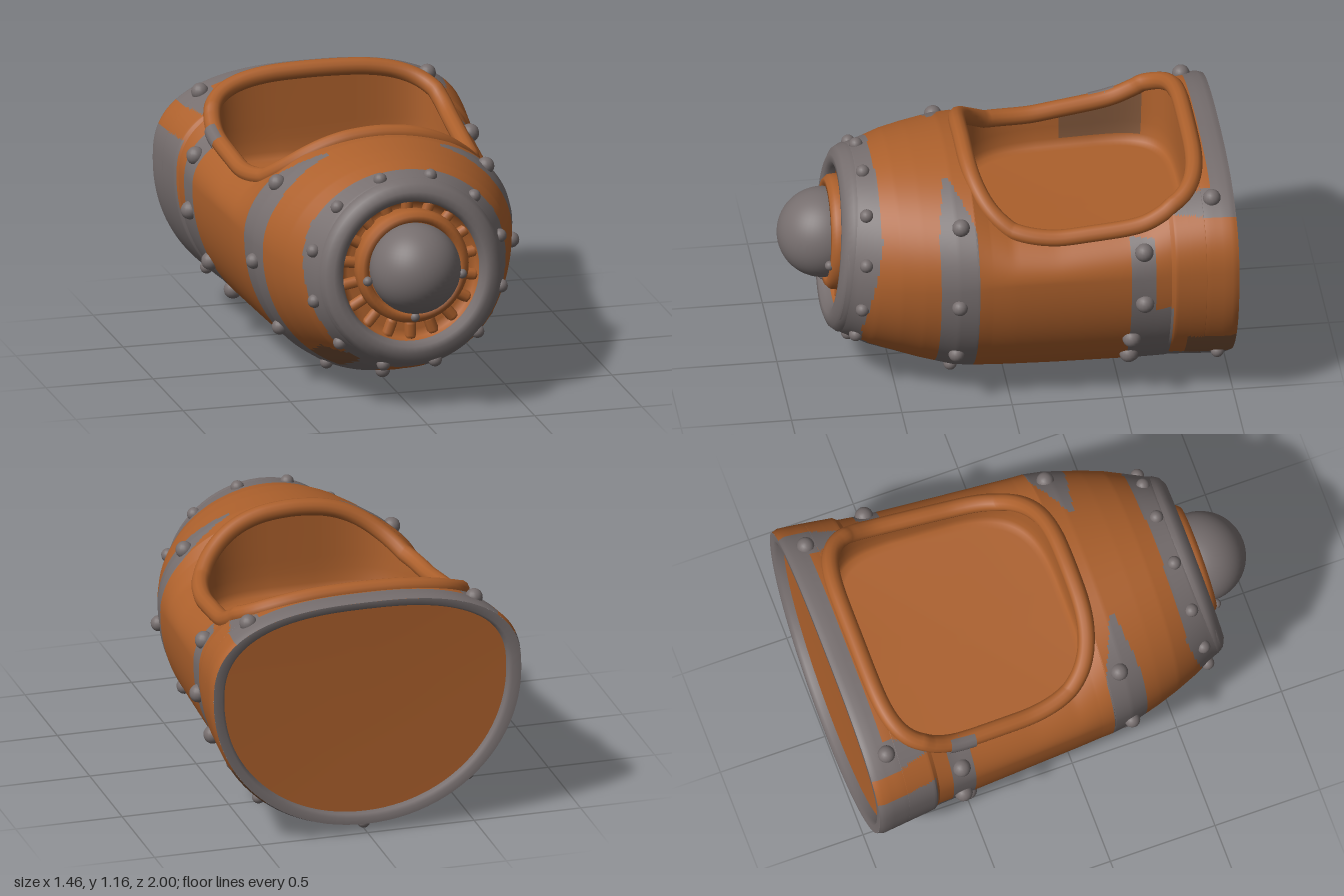
import * as THREE from 'three';
import { mergeVertices } from 'three/addons/utils/BufferGeometryUtils.js';

function flat(name, color) {
  const m = new THREE.MeshStandardMaterial({ color });
  m.name = name;
  return m;
}
const wood = flat('orange wood', 0xac602c);
const metal = flat('grey metal', 0x766e6e);
const stain = flat('dark brown wood', 0x7c5439);
const WOOD = 0, METAL = 1, STAIN = 2;

// Hull stations: z, half width, bottom, y of widest point, top, squareness of the top
const STATIONS = [
  [0.74, 0.415, 0.25, 0.64, 1.03, 2], [0.7, 0.43, 0.215, 0.64, 1.06, 2], [0.6, 0.48, 0.155, 0.64, 1.075, 2],
  [0.5, 0.525, 0.115, 0.65, 1.095, 2], [0.4, 0.56, 0.08, 0.66, 1.11, 2], [0.25, 0.605, 0.035, 0.68, 1.125, 2],
  [0.165, 0.62, 0.025, 0.69, 1.12, 2], [0.1, 0.625, 0.022, 0.7, 1.07, 2], [0, 0.635, 0.018, 0.71, 1.01, 2],
  [-0.2, 0.65, 0.015, 0.72, 0.995, 2], [-0.5, 0.67, 0.018, 0.72, 1.03, 2.2], [-0.6, 0.677, 0.02, 0.72, 1.05, 2.3],
  [-0.7, 0.685, 0.025, 0.72, 1.1, 2.4], [-0.72, 0.7, 0.035, 0.72, 1.105, 2.45], [-0.87, 0.718, 0.032, 0.72, 1.125, 2.6],
  [-0.97, 0.73, 0.035, 0.72, 1.13, 2.6], [-1, 0.722, 0.045, 0.72, 1.12, 2.6],
];
function station(z) {
  let i = 0;
  while (i < STATIONS.length - 2 && z < STATIONS[i + 1][0]) i++;
  const a = STATIONS[i], b = STATIONS[i + 1];
  const t = THREE.MathUtils.clamp((a[0] - z) / (a[0] - b[0]), 0, 1);
  const [, w, bottom, c, top, n] = a.map((v, k) => v + (b[k] - v) * t);
  return { w, bottom, c, top, n };
}
const pow = (v, e) => Math.sign(v) * Math.abs(v) ** e;

// Point on the hull; angle 0 is the top, PI/2 the +x side, PI the bottom; the mouth leans back at the top
const LEAN = 0.1;
function hullPoint(z, a) {
  const s = station(z), cos = Math.cos(a), n = cos > 0 ? s.n : 2.05;
  const h = cos > 0 ? s.top - s.c : s.c - s.bottom;
  const y = s.c + h * pow(cos, 2 / n);
  const lean = LEAN * (y - 0.64) * THREE.MathUtils.clamp((z - 0.5) / 0.2, 0, 1);
  return new THREE.Vector3(s.w * pow(Math.sin(a), 2 / n), y, z - lean);
}
function topY(x, z) {
  const s = station(z);
  return s.c + (s.top - s.c) * Math.max(0, 1 - (Math.abs(x) / s.w) ** s.n) ** (1 / s.n);
}

// Rounded-square cockpit opening in plan, wider and squarer at the rear
const OPEN = { z: -0.345, hz: 0.51 };
const openSide = z => 0.535 * (1 - 0.1 * (z - OPEN.z));
const openPower = front => (front ? 3.5 : 4.6);
function openHalfWidth(z) {
  const u = Math.abs(z - OPEN.z) / OPEN.hz, n = openPower(z > OPEN.z);
  return u >= 1 ? 0 : openSide(z) * (1 - u ** n) ** (1 / n);
}
function openLoop(count, scale, yAt) {
  return Array.from({ length: count + 1 }, (_, i) => {
    const t = -(i / count) * Math.PI * 2, n = openPower(Math.sin(t) > 0);
    const z = OPEN.z + OPEN.hz * pow(Math.sin(t), 2 / n);
    const x = openSide(z) * pow(Math.cos(t), 2 / n);
    return new THREE.Vector3(x * scale, yAt(x, z), OPEN.z + (z - OPEN.z) * scale);
  });
}

// Skin over rows of points; pick(x, y, z) chooses the material of each face
function skin(name, rows, pick) {
  const pos = rows.flatMap(r => r.flatMap(p => [p.x, p.y, p.z]));
  const n = rows[0].length, parts = [[], [], []], mid = new THREE.Vector3();
  for (let i = 0; i < rows.length - 1; i++) for (let j = 0; j < n - 1; j++) {
    mid.copy(rows[i][j]).add(rows[i][j + 1]).add(rows[i + 1][j]).add(rows[i + 1][j + 1]).multiplyScalar(0.25);
    const a = i * n + j, c = a + n;
    parts[pick(mid.x, mid.y, mid.z)].push(a, a + 1, c, a + 1, c + 1, c);
  }
  let g = new THREE.BufferGeometry();
  g.setAttribute('position', new THREE.Float32BufferAttribute(pos, 3));
  g.setIndex(parts.flat());
  g = mergeVertices(g);
  g.clearGroups();
  let start = 0;
  parts.forEach((p, k) => {
    if (p.length) g.addGroup(start, p.length, k);
    start += p.length;
  });
  g.computeVertexNormals();
  const mesh = new THREE.Mesh(g, [wood, metal, stain]);
  mesh.name = name;
  return mesh;
}

// Metal straps and dark patches painted on the hull
function strap(x, y, z) {
  const ax = Math.abs(x), pick = on => (on ? METAL : WOOD);
  // front band, set further forward low on the sides
  if (z > 0.575 + THREE.MathUtils.clamp((0.85 - y) * 0.2, 0, 0.09)) return METAL;
  // keel plate with a wooden gap
  if (z > 0.33) {
    if (y < 0.26 && x < -0.22 && x > -0.36) return STAIN;
    return pick(y < 0.3 && ax < 0.29 && !(ax < 0.085 && y < 0.185));
  }
  // middle band, pointed at the top ends
  if (z > 0.16) {
    const t = THREE.MathUtils.clamp((ax - 0.26) / 0.25, 0, 1);
    return pick(y < 0.6 || (ax > 0.26 && z < 0.285 + 0.045 * t && z > 0.265 - 0.105 * t));
  }
  // keel strips and rear band
  if (z > -0.52) return pick(y < 0.3 && ax > 0.17 && ax < 0.29);
  if (z > -0.63) return pick(y < 0.9 || x < 0);
  if (z > -0.71) return pick(y < 0.56);
  // rear collar
  if (z < -0.9 && y > 1) return METAL;
  if (x > 0 && y > 0.2 && y < 0.37 && z < -0.78) return STAIN;
  return pick(y < (x < 0 ? 0.88 : 0.21) || (y > 0.99 && ax > 0.48));
}

function buildHull() {
  const zs = [0.1, -0.52, -0.63, -0.7, -0.71, -0.72, -0.78, -0.88, -0.9, -0.93, -0.97, -0.99, -1];
  for (let i = 0; i <= 58; i++) zs.push(0.74 - i * 0.01);
  for (let i = 0; i <= 60; i++) zs.push(OPEN.z + OPEN.hz * pow(Math.sin((i / 60 - 0.5) * Math.PI), 0.6));
  zs.sort((a, b) => b - a);
  return skin('hull', zs.map(z => {
    const s = station(z), a0 = Math.asin((openHalfWidth(z) / s.w) ** (s.n / 2));
    return Array.from({ length: 181 }, (_, j) => hullPoint(z, a0 + (2 * Math.PI - 2 * a0) * j / 180));
  }), strap);
}

// Turned part facing forward, centred at height y and tilted back about z = 0.72
function lathe(name, profile, material, y, tilt) {
  const g = new THREE.LatheGeometry(profile.map(p => new THREE.Vector2(...p)), 64);
  g.rotateX(Math.PI / 2);
  g.translate(0, 0, -0.72);
  const mesh = new THREE.Mesh(g, material);
  mesh.name = name;
  mesh.position.set(0, y, 0.72);
  mesh.rotation.x = -tilt;
  return mesh;
}

export function createModel() {
  const model = new THREE.Group();
  model.name = 'barrel cart body';
  model.add(buildHull());

  // Rear lip and recessed rear panel
  const rearRow = (k, z) => Array.from({ length: 97 }, (_, j) => {
    const p = hullPoint(-1, j / 96 * Math.PI * 2);
    return new THREE.Vector3(p.x * k, 0.62 + (p.y - 0.62) * k, z);
  });
  model.add(skin('rearLip', [rearRow(1, -1), rearRow(0.945, -1), rearRow(0.925, -0.985), rearRow(0.92, -0.95)], () => METAL));
  model.add(skin('rearPanel', [rearRow(0.925, -0.955), rearRow(0.5, -0.95), rearRow(0, -0.95)], () => WOOD));

  // Cockpit tub with a dark patch on one wall, its rolled rim, and the strap end wrapped over the rim
  const tub = [[1, null], [0.99, 0.87], [0.985, 0.81], [0.975, 0.75], [0.95, 0.72], [0.9, 0.71], [0, 0.71]];
  const tubPick = (x, y, z) => (x < -0.45 && y > 0.74 && z < -0.4 && z > -0.72 ? STAIN : WOOD);
  model.add(skin('cockpitTub', tub.map(([k, y]) => openLoop(96, k, (x, z) => y ?? topY(x, z))), tubPick));
  const tube = (name, points, closed, radius, material) => {
    const path = new THREE.CatmullRomCurve3(points, closed);
    const mesh = new THREE.Mesh(new THREE.TubeGeometry(path, closed ? 180 : 8, radius, 12, closed), material);
    mesh.name = name;
    model.add(mesh);
  };
  tube('cockpitRim', openLoop(72, 1, topY).slice(0, -1), true, 0.04, wood);
  const wrap = [-0.49, -0.53, -0.57, -0.61].map(z => {
    const x = -openHalfWidth(z);
    return new THREE.Vector3(x - 0.006, topY(x, z), z);
  });
  tube('rimStrap', wrap, false, 0.041, metal);

  // Front ring, pleated recess, nose cup and nose
  model.add(lathe('frontRing', [[0.425, 0.68], [0.425, 0.72], [0.405, 0.75], [0.37, 0.767], [0.34, 0.765], [0.322, 0.745],
    [0.318, 0.7]], metal, 0.64, LEAN));
  model.add(lathe('frontRecess', [[0.325, 0.735], [0.31, 0.69], [0.28, 0.67], [0, 0.67]], wood, 0.64, LEAN));
  const pleat = new THREE.CapsuleGeometry(0.027, 0.05, 4, 8);
  for (let i = 0; i < 18; i++) {
    const a = i / 18 * Math.PI * 2, m = new THREE.Mesh(pleat, wood);
    m.name = 'recessPleat';
    m.position.set(Math.sin(a) * 0.28, 0.645 + Math.cos(a) * 0.28, 0.685 - LEAN * Math.cos(a) * 0.28);
    m.rotation.z = -a;
    model.add(m);
  }
  model.add(lathe('noseCup', [[0.25, 0.66], [0.262, 0.73], [0.258, 0.765], [0.24, 0.785], [0.215, 0.785], [0.205, 0.76]],
    wood, 0.67, LEAN / 2));
  const nose = new THREE.Mesh(new THREE.SphereGeometry(0.205, 48, 32), metal);
  nose.name = 'nose';
  nose.position.set(0, 0.675, 0.795);
  model.add(nose);

  // Rivets
  const ball = new THREE.SphereGeometry(1, 16, 12);
  const rivet = (p, r) => {
    const m = new THREE.Mesh(ball, metal);
    m.name = 'rivet';
    m.position.copy(p);
    m.scale.setScalar(r);
    model.add(m);
  };
  for (const [x, y] of [[-0.22, 0.63], [0.22, 0.63], [0, 0.445]]) rivet(new THREE.Vector3(x, y, 0.79), 0.022);
  for (let i = 0; i < 12; i++) rivet(hullPoint(0.66, (i + 0.5) / 12 * Math.PI * 2), 0.031);
  rivet(hullPoint(0.25, Math.PI), 0.034);
  rivet(hullPoint(-0.94, Math.PI), 0.03);
  // z, angle from the top in degrees, radius; mirrored to both sides
  const pairs = [[0.23, 53, 0.04], [0.25, 97, 0.036], [0.25, 128, 0.036], [0.25, 155, 0.03], [-0.58, 70, 0.042],
    [-0.58, 100, 0.042], [-0.53, 120, 0.042], [-0.53, 135, 0.042], [-0.58, 160, 0.03],
    [-0.9, 42, 0.04], [-0.93, 138, 0.03]];
  for (const [z, deg, r] of pairs) for (const side of [1, -1]) {
    const p = hullPoint(z, deg * Math.PI / 180);
    p.x *= side;
    rivet(p, r);
  }
  return model;
}
